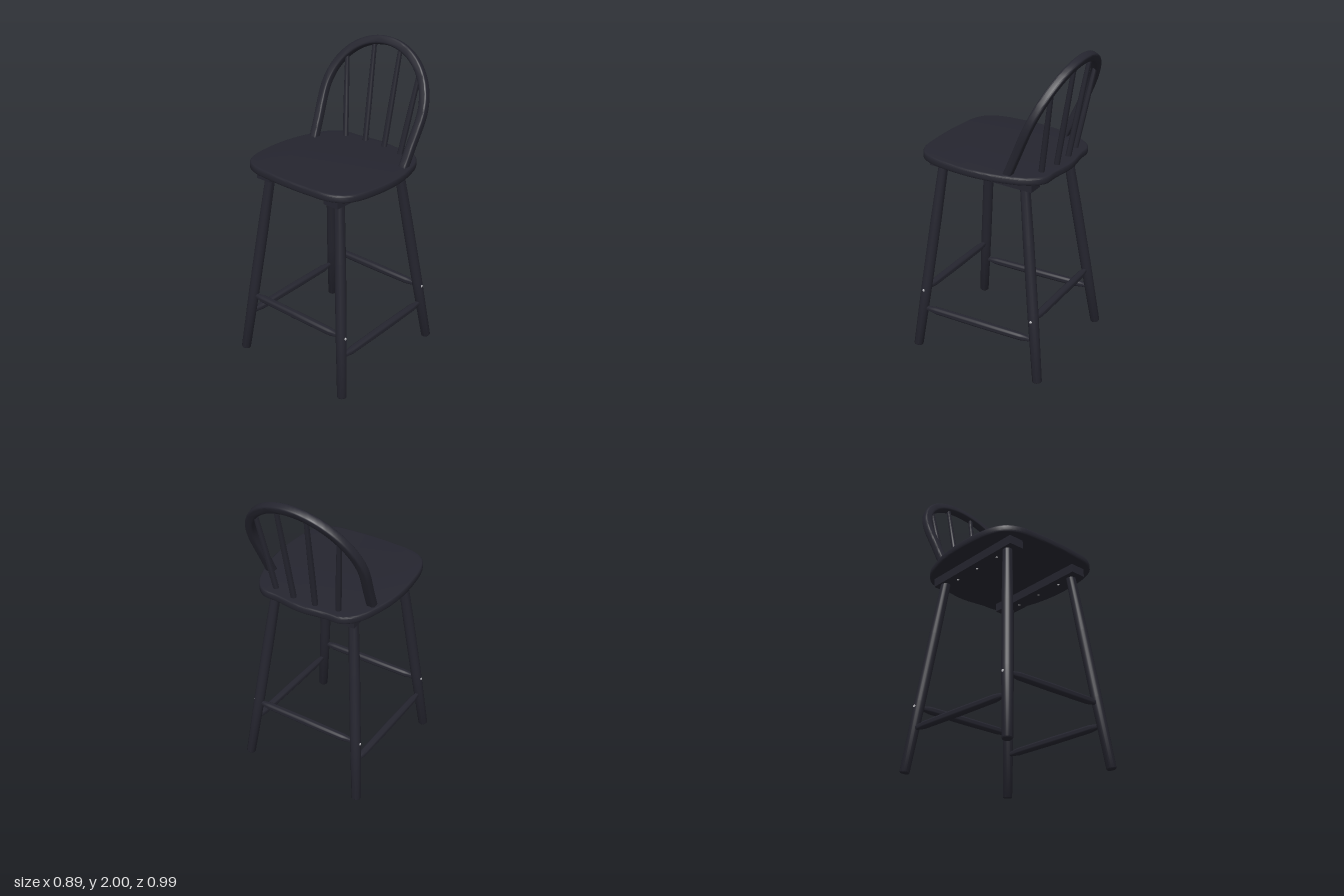
import * as THREE from 'three';
import { toCreasedNormals } from 'three/addons/utils/BufferGeometryUtils.js';

const V = (x, y, z) => new THREE.Vector3(x, y, z);

export function createModel() {
  const model = new THREE.Group();
  const paint = new THREE.MeshStandardMaterial({ color: 0x25252f });
  paint.name = 'dark stain';
  const metal = new THREE.MeshStandardMaterial({ color: 0xc4c4c8 });
  metal.name = 'screw metal';

  const add = (name, geometry, parent = model, material = paint) => {
    const mesh = new THREE.Mesh(geometry, material);
    mesh.name = name;
    parent.add(mesh);
    return mesh;
  };

  // Turned rod from a to b; profile holds [fraction along, radius] pairs
  const rod = (name, a, b, profile) => {
    const length = a.distanceTo(b);
    const points = [[0, 0], ...profile, [1, 0]].map(([t, r]) => new THREE.Vector2(r, t * length));
    const mesh = add(name, toCreasedNormals(new THREE.LatheGeometry(points, 20), 0.7));
    mesh.position.copy(a);
    mesh.quaternion.setFromUnitVectors(V(0, 1, 0), b.clone().sub(a).normalize());
    return mesh;
  };

  const extrude = (shape, thickness, bevel) => {
    const g = new THREE.ExtrudeGeometry(shape, {
      depth: thickness - 2 * bevel, bevelEnabled: true, bevelThickness: bevel,
      bevelSize: bevel, bevelOffset: -bevel, bevelSegments: 3, curveSegments: 24,
    });
    g.translate(0, 0, bevel - thickness / 2);
    return toCreasedNormals(g, 0.6);
  };

  // Seat board and cleats, tipped up at the front
  const seatGroup = new THREE.Group();
  seatGroup.name = 'seatAssembly';
  seatGroup.position.y = 1.314;
  seatGroup.rotation.x = -0.046;
  model.add(seatGroup);

  const half = [[0.16, 0.466], [0.29, 0.45], [0.375, 0.4], [0.42, 0.31], [0.44, 0.18], [0.445, 0.05],
    [0.432, -0.08], [0.408, -0.18], [0.372, -0.28], [0.32, -0.35], [0.265, -0.383], [0.17, -0.388]];
  const outline = [[0, 0.472], ...half, [0, -0.408], ...half.map(([x, z]) => [-x, z]).reverse()];
  const seatCurve = new THREE.CatmullRomCurve3(outline.map(([x, z]) => V(x, -z, 0)), true);
  const seatShape = new THREE.Shape(seatCurve.getPoints(96).slice(0, -1).map(p => new THREE.Vector2(p.x, p.y)));
  add('seat', extrude(seatShape, 0.048, 0.012).rotateX(-Math.PI / 2), seatGroup);

  const screw = new THREE.CylinderGeometry(0.008, 0.008, 0.006, 12);
  for (const s of [-1, 1]) {
    add('cleat', new THREE.BoxGeometry(0.105, 0.058, 0.705), seatGroup).position.set(s * 0.267, -0.051, 0.042);
    for (const z of [-0.14, 0.04, 0.22]) {
      add('cleatScrew', screw, seatGroup, metal).position.set(s * 0.267, -0.079, z);
    }
  }

  // Splayed legs with a screw on the outer side
  const legFoot = (s, f) => V(s * 0.415, 0.005, f ? 0.47 : -0.41);
  const legTop = (s, f) => V(s * 0.274, 1.26, f ? 0.325 : -0.238);
  const legAt = (s, f, y) => legFoot(s, f).lerp(legTop(s, f), (y - 0.005) / 1.255);
  for (const s of [-1, 1]) {
    for (const f of [true, false]) {
      rod(f ? 'frontLeg' : 'backLeg', legFoot(s, f), legTop(s, f),
        [[0, 0.026], [0.004, 0.03], [0.35, 0.034], [0.7, 0.034], [1, 0.03]]);
      const head = add('legScrew', screw, model, metal);
      head.position.copy(legAt(s, f, 0.41)).add(V(s * 0.034, 0, 0));
      head.rotation.z = Math.PI / 2;
    }
  }

  // Stretchers between the legs
  const cigar = [[0, 0.014], [0.05, 0.016], [0.12, 0.024], [0.5, 0.026], [0.88, 0.024], [0.95, 0.016], [1, 0.014]];
  for (const f of [true, false]) {
    rod(f ? 'frontStretcher' : 'backStretcher', legAt(-1, f, 0.41), legAt(1, f, 0.41), cigar);
  }
  for (const s of [-1, 1]) rod('sideStretcher', legAt(s, false, 0.275), legAt(s, true, 0.275), cigar);

  // Bent hoop, drawn flat then leaned back
  const arc = [];
  for (let i = 0; i <= 16; i++) {
    const a = (i / 16) * Math.PI;
    arc.push(V(0.38 * Math.cos(a), 0.33 + 0.39 * Math.sin(a), 0));
  }
  const centre = new THREE.CatmullRomCurve3(
    [V(0.357, 0, 0), V(0.367, 0.15, 0), ...arc, V(-0.367, 0.15, 0), V(-0.357, 0, 0)]);
  const outer = [], inner = [];
  for (let i = 0; i <= 72; i++) {
    const p = centre.getPointAt(i / 72), t = centre.getTangentAt(i / 72);
    outer.push(new THREE.Vector2(p.x + t.y * 0.027, p.y - t.x * 0.027));
    inner.push(new THREE.Vector2(p.x - t.y * 0.027, p.y + t.x * 0.027));
  }
  const hoop = add('backHoop', extrude(new THREE.Shape([...outer, ...inner.reverse()]), 0.05, 0.012));
  hoop.position.set(0, 1.31, -0.166);
  hoop.rotation.x = -0.426;

  // Back spindles fanning up into the hoop
  const taper = [[0, 0.018], [0.4, 0.018], [1, 0.014]];
  for (const s of [-1, 1]) {
    rod('innerSpindle', V(s * 0.075, 1.3, -0.34), V(s * 0.1, 1.95, -0.456), taper);
    rod('outerSpindle', V(s * 0.218, 1.3, -0.315), V(s * 0.282, 1.845, -0.408), taper);
  }
  return model;
}
